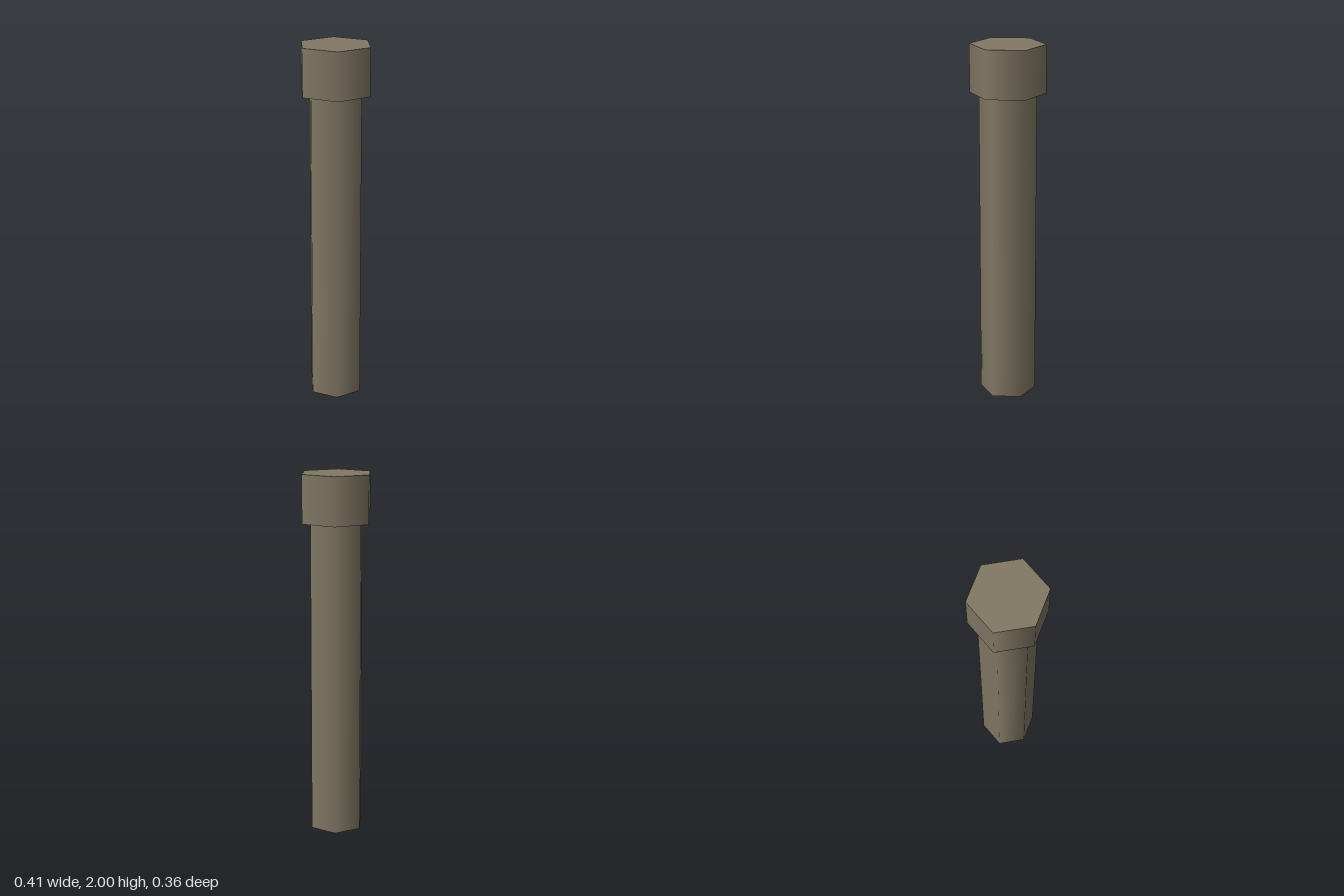
import * as THREE from 'three';

export function createModel() {
  const group = new THREE.Group();
  group.name = 'hexPost';
  const stone = new THREE.MeshStandardMaterial({ color: 0x827864 });
  stone.name = 'taupe';

  // Six-sided prism with corners on the x axis and smooth-shaded sides
  function hexPrism(name, radius, bottom, top) {
    const geometry = new THREE.CylinderGeometry(radius, radius, top - bottom, 6, 1, false, Math.PI / 2);
    const mesh = new THREE.Mesh(geometry, stone);
    mesh.name = name;
    mesh.position.y = (bottom + top) / 2;
    group.add(mesh);
  }

  hexPrism('shaft', 0.156, 0, 1.74);
  hexPrism('head', 0.206, 1.737, 2);
  return group;
}
